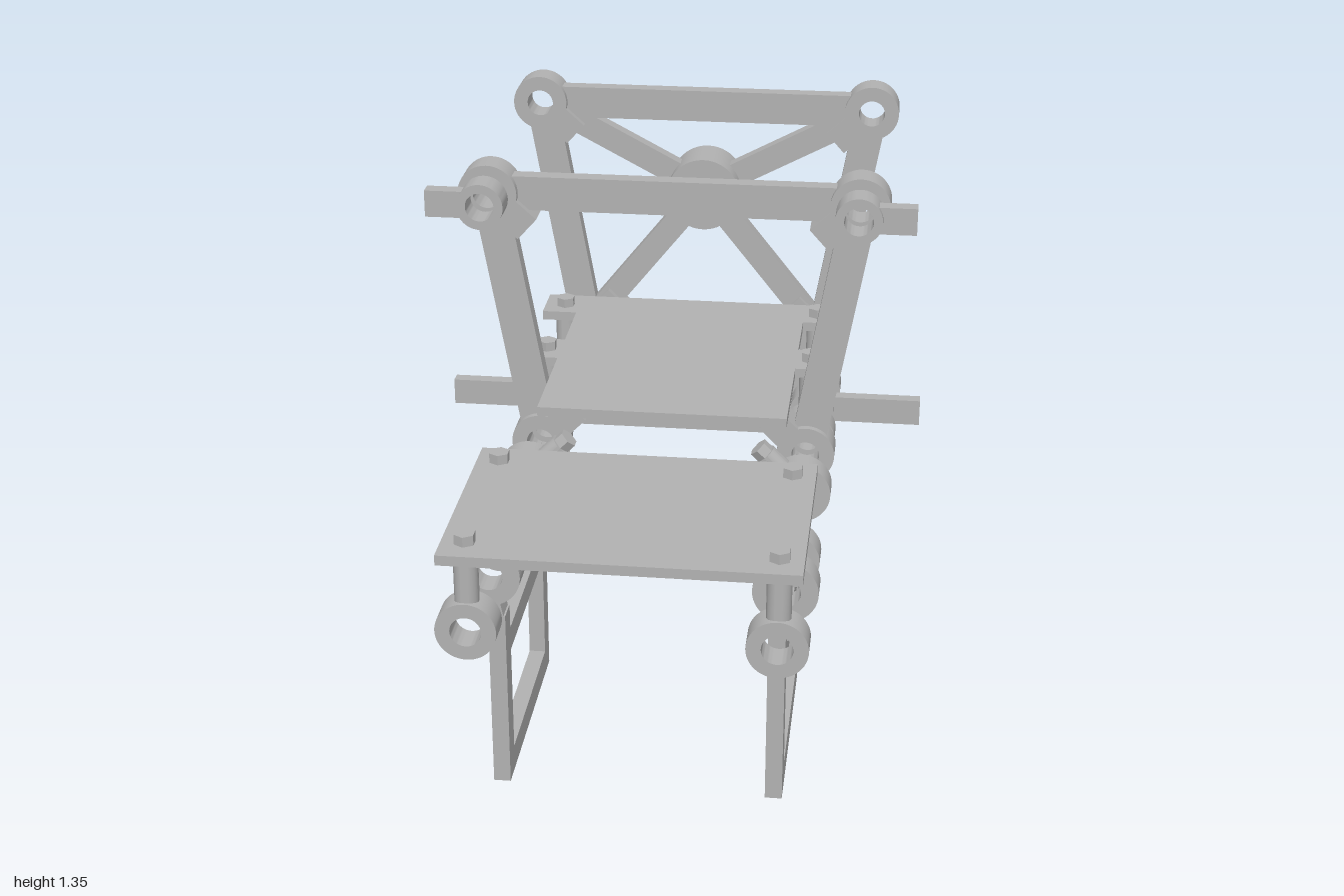
import * as THREE from 'three';
import { toCreasedNormals } from 'three/addons/utils/BufferGeometryUtils.js';

const grey = new THREE.MeshStandardMaterial({ color: 0xb2b2b2 });
grey.name = 'plain grey';

export function createModel() {
  const root = new THREE.Group();
  root.name = 'tubeFrameBrackets';

  const add = (name, geo, x = 0, y = 0, z = 0, rz = 0) => {
    const m = new THREE.Mesh(geo, grey);
    m.name = name;
    m.position.set(x, y, z);
    m.rotation.z = rz;
    root.add(m);
    return m;
  };
  const box = (name, x0, x1, y0, y1, z0, z1) =>
    add(name, new THREE.BoxGeometry(Math.abs(x1 - x0), y1 - y0, z1 - z0), (x0 + x1) / 2, (y0 + y1) / 2, (z0 + z1) / 2);

  // Ring with its axis along z
  const ringGeo = (outer, inner, depth) => {
    const s = new THREE.Shape().absarc(0, 0, outer, 0, Math.PI * 2);
    s.holes.push(new THREE.Path().absarc(0, 0, inner, 0, Math.PI * 2, true));
    const g = new THREE.ExtrudeGeometry(s, { depth, bevelEnabled: false, curveSegments: 24 });
    g.translate(0, 0, -depth / 2);
    return toCreasedNormals(g, 0.6);
  };

  // Flat bar between two points in a plane of constant z, trimmed at both ends
  const bar = (name, a, b, width, z, depth, trimA = 0, trimB = 0) => {
    const dx = b[0] - a[0], dy = b[1] - a[1], len = Math.hypot(dx, dy);
    const mid = (trimA + len - trimB) / 2 / len;
    return add(name, new THREE.BoxGeometry(len - trimA - trimB, width, depth),
      a[0] + dx * mid, a[1] + dy * mid, z, Math.atan2(dy, dx));
  };

  // Cylinder starting at r0 and ending at r1 from a centre, at an angle in the xy plane
  const stud = (name, x, y, z, angle, r0, r1, radius, sides = 20) => {
    const m = (r0 + r1) / 2;
    const g = toCreasedNormals(new THREE.CylinderGeometry(radius, radius, r1 - r0, sides), 0.6);
    add(name, g, x + Math.cos(angle) * m, y + Math.sin(angle) * m, z, angle - Math.PI / 2);
  };

  const LX = 0.357, LY = 0.58;   // lower tube line
  const UX = 0.48, UY = 1.277;   // upper tube line
  const HUB = [0, 1.025];
  const PLATE_Y = 0.768, PLATE_T = 0.025;

  // Horizontal plates, outlined as x and z pairs
  const plate = (name, pts, y, t) => {
    const s = new THREE.Shape(pts.map(([x, z]) => new THREE.Vector2(x, -z)));
    const g = new THREE.ExtrudeGeometry(s, { depth: t, bevelEnabled: false });
    g.rotateX(-Math.PI / 2);
    add(name, g, 0, y, 0);
  };
  box('frontPlate', -0.413, 0.413, PLATE_Y, PLATE_Y + PLATE_T, 0.43, 1.0);
  const edge = [[0.32, 0.175], [0.32, -0.15], [0.415, -0.15], [0.415, -0.28], [0.32, -0.28],
    [0.32, -0.48], [0.415, -0.48], [0.415, -0.61]];
  plate('middlePlate', [...edge, ...edge.map(([x, z]) => [-x, z]).reverse()], PLATE_Y, PLATE_T);
  box('rearFloorPlate', -0.393, 0.393, 0.43, 0.455, -0.91, -0.52);

  // Hoop clamp: ring plus a square ear
  const hoopClamp = (x, y, z, angle) => {
    add('hoopClampRing', ringGeo(0.077, 0.037, 0.08), x, y, z);
    const c = Math.cos(angle), s = Math.sin(angle);
    bar('hoopClampEar', [x + c * 0.06, y + s * 0.06], [x + c * 0.137, y + s * 0.137], 0.075, z, 0.08);
  };

  for (const s of [1, -1]) {
    const inward = (deg) => (s > 0 ? Math.PI - deg * Math.PI / 180 : deg * Math.PI / 180);

    // Plate clamps with upright posts and bolt heads
    for (const z of [0.93, 0.5, -0.214, -0.536]) {
      add('plateClampRing', ringGeo(0.072, 0.037, 0.072), s * LX, LY, z);
      stud('platePost', s * LX, LY, z, Math.PI / 2, 0.06, PLATE_Y - LY, 0.029);
      stud('plateBolt', s * LX, LY, z, Math.PI / 2, PLATE_Y - LY, 0.238, 0.026, 6);
    }

    // Leg clamps with slanted bolts
    for (const z of [0.662, 0.133]) {
      add('legClampRing', ringGeo(0.079, 0.037, 0.07), s * LX, LY, z);
      stud('legClampPost', s * LX, LY, z, inward(45), 0.065, 0.13, 0.03);
      stud('legClampBolt', s * LX, LY, z, inward(45), 0.13, 0.158, 0.027, 6);
      bar('legNeck', [s * 0.34, 0.45], [s * 0.355, 0.53], 0.042, z, 0.06);
      box('legUpright', s * 0.318, s * 0.36, 0, 0.47, z - 0.03, z + 0.03);
    }
    box('legFoot', s * 0.318, s * 0.36, 0, 0.065, 0.163, 0.632);
    box('legCrossbar', s * 0.318, s * 0.36, 0.345, 0.405, 0.163, 0.632);

    // Side rings hung on slanted arms, axis along x
    const hoop = add('sideRing', ringGeo(0.112, 0.088, 0.05), s * 0.16, 0.385, 0.037);
    hoop.rotation.y = Math.PI / 2;
    bar('sideRingArm', [s * 0.35, 0.592], [s * 0.168, 0.509], 0.056, 0.035, 0.056);

    // Outward handles on the lower and upper tubes
    add('lowerHandleRing', ringGeo(0.06, 0.037, 0.08), s * LX, LY, -0.394);
    box('lowerHandleBar', s * 0.405, s * 0.655, 0.543, 0.615, -0.411, -0.376);
    add('upperHandleRing', ringGeo(0.06, 0.037, 0.075), s * UX, UY, 0);
    box('upperHandleBar', s * 0.525, s * 0.625, 1.241, 1.311, -0.02, 0.02);

    // Hoop corners and slanted sides
    for (const z of [-0.107, -0.93]) {
      hoopClamp(s * UX, UY, z, inward(-42));
      hoopClamp(s * LX, LY, z, inward(45));
      bar('hoopSide', [s * UX, UY], [s * LX, LY], 0.09, z, 0.043, 0.062, 0.062);
    }

    // Rear cross braces meeting in the hub
    bar('upperBrace', [s * UX, UY], HUB, 0.07, -0.93, 0.042, 0.068);
    bar('lowerBrace', [s * LX, LY], HUB, 0.07, -0.93, 0.042, 0.068);

    // Upright blocks on the rear floor plate
    box('floorBlock', s * 0.335, s * 0.388, 0.455, 0.547, -0.78, -0.64);
  }

  // Hoop crossbars and hub
  for (const z of [-0.107, -0.93])
    bar('hoopTopBar', [-UX, UY], [UX, UY], 0.09, z, 0.043, 0.062, 0.062);
  bar('hoopBottomBar', [-LX, LY], [LX, LY], 0.088, -0.93, 0.043, 0.062, 0.062);
  add('hub', ringGeo(0.106, 0.057, 0.14), HUB[0], HUB[1], -0.93);

  return root;
}
